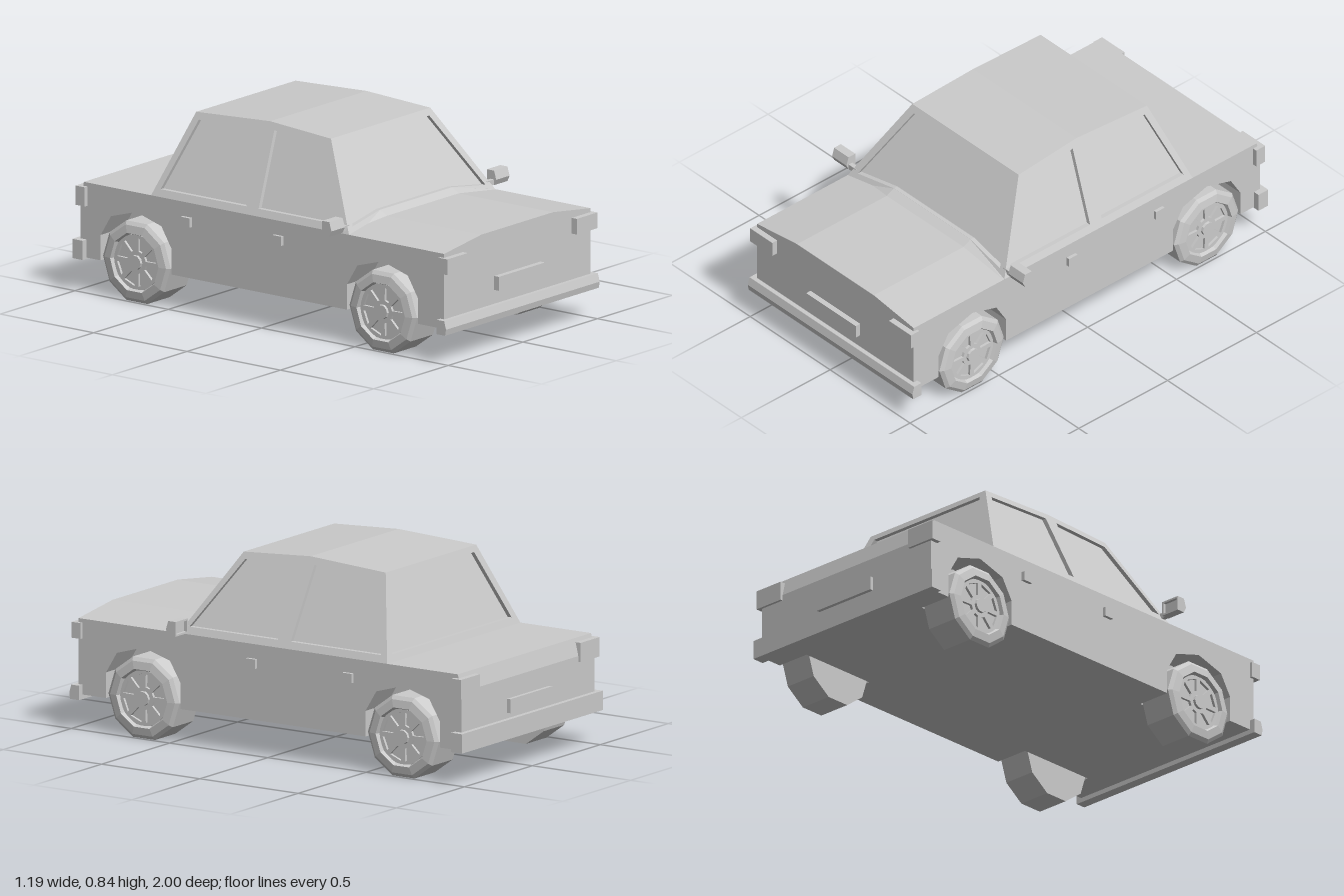
import * as THREE from 'three';

const mat = new THREE.MeshStandardMaterial({ color: 0xcccccc, flatShading: true, side: THREE.DoubleSide });

// Slanted cabin planes as functions of height
const SILL = 0.475;
const sideX = y => 0.49 - 0.452 * (y - SILL);
const frontZ = y => 0.46 - 0.638 * (y - SILL);
const rearZ = y => -0.6 + 0.333 * (y - SILL);
const INSET = 0.02;

const toShape = pts => new THREE.Shape(pts.map(p => new THREE.Vector2(...p)));
const extrude = (shape, depth) => new THREE.ExtrudeGeometry(shape, { depth, bevelEnabled: false });

export function createModel() {
  const car = new THREE.Group();
  car.name = 'car';

  function add(name, geometry, parent = car) {
    const m = new THREE.Mesh(geometry, mat);
    m.name = name;
    parent.add(m);
    return m;
  }
  // Box given by its lower and upper limits on each axis
  function block(name, [x0, x1], [y0, y1], [z0, z1], parent) {
    const g = new THREE.BoxGeometry(x1 - x0, y1 - y0, z1 - z0);
    g.translate((x0 + x1) / 2, (y0 + y1) / 2, (z0 + z1) / 2);
    return add(name, g, parent);
  }
  // Profile in (z, y), extruded across the car from x0 to x1
  function across(name, pts, x0, x1, parent) {
    const g = extrude(toShape(pts), x1 - x0);
    g.rotateY(-Math.PI / 2).translate(x1, 0, 0);
    return add(name, g, parent);
  }
  // Move every vertex by a rule
  function warp(g, rule) {
    const p = g.attributes.position;
    for (let i = 0; i < p.count; i++) p.setXYZ(i, ...rule(p.getX(i), p.getY(i), p.getZ(i)));
    g.computeVertexNormals();
    return g;
  }

  // Lower body: full core, and outer strips with wheel arches
  const axles = [0.64, -0.68];
  const arch = c => [[-0.19, 0.15], [-0.19, 0.26], [-0.135, 0.35], [0, 0.39], [0.135, 0.35], [0.19, 0.26], [0.19, 0.15]]
    .map(([z, y]) => [c + z, y]);
  const ends = [[0.97, 0.15], [0.97, SILL], [-0.96, SILL], [-0.978, 0.4], [-0.978, 0.15]];
  across('bodyCore', ends, -0.335, 0.335);
  const strip = [...ends, ...arch(axles[1]), ...arch(axles[0])];
  across('leftBodySide', strip, 0.335, 0.49);
  across('rightBodySide', strip, -0.49, -0.335);

  // Raised hood, and the cowl rising to the windshield
  const hoodShape = toShape([[-0.49, SILL], [0.49, SILL], [0.24, 0.508], [-0.24, 0.508]]);
  add('hood', extrude(hoodShape, 0.505).translate(0, 0, 0.465));
  add('cowl', warp(extrude(hoodShape, 0.04),
    (x, y, z) => [x, y > 0.5 && z < 0.02 ? 0.528 : y, 0.425 + z]));

  // Cabin panels: a frame with window openings, plus recessed glass
  function panel(name, outline, windows, place) {
    const frame = toShape(outline);
    windows.forEach(w => frame.holes.push(toShape(w)));
    add(name + 'Frame', warp(extrude(frame, INSET), place));
    windows.forEach(w => add(name + 'Glass', warp(new THREE.ShapeGeometry(toShape(w)), place)));
  }
  const EAVE = 0.823, PEAK = 0.843, MID = -0.095;
  const endOutline = [[-sideX(SILL), SILL], [sideX(SILL), SILL], [sideX(EAVE), EAVE], [-sideX(EAVE), EAVE]];
  panel('windshield', endOutline,
    [[[-0.445, 0.5], [-0.24, 0.528], [0.24, 0.528], [0.445, 0.5], [0.305, 0.797], [-0.305, 0.797]]],
    (u, y, d) => [u, y, frontZ(y) + d - INSET]);
  panel('rearWindow', endOutline,
    [[[-0.44, 0.505], [0.44, 0.505], [0.305, 0.797], [-0.305, 0.797]]],
    (u, y, d) => [-u, y, rearZ(y) - d + INSET]);

  const sideOutline = [[frontZ(SILL), SILL], [frontZ(EAVE), EAVE], [MID, PEAK], [rearZ(EAVE), EAVE], [rearZ(SILL), SILL]];
  const sideWindows = [
    [[0.415, 0.505], [0.222, 0.795], [-0.062, 0.812], [-0.035, 0.505]],
    [[-0.1, 0.505], [-0.125, 0.812], [-0.46, 0.795], [-0.56, 0.505]],
  ];
  for (const s of [1, -1]) {
    const flip = pts => pts.map(([z, y]) => [-s * z, y]);
    panel(s > 0 ? 'leftSide' : 'rightSide', flip(sideOutline), sideWindows.map(flip),
      (u, y, d) => [s * (sideX(y) + d - INSET), y, -s * u]);
  }

  // Roof with a slight ridge at the middle pillars
  const roof = new THREE.PlaneGeometry(1, 1, 1, 2);
  const rows = [[rearZ(EAVE), EAVE], [MID, PEAK], [frontZ(EAVE), EAVE]];
  add('roof', warp(roof, (x, y) => {
    const [z, h] = rows[Math.round((0.5 - y) * 2)];
    return [Math.sign(x) * sideX(h), h, z];
  }));

  // Bumpers and plates
  across('frontBumper', [[0.95, 0.13], [0.995, 0.13], [1, 0.157], [0.99, 0.192], [0.95, 0.192]], -0.515, 0.515);
  block('rearBumper', [-0.518, 0.518], [0.145, 0.228], [-1, -0.945]);
  block('frontPlate', [-0.155, 0.155], [0.252, 0.312], [0.96, 0.995]);
  block('rearPlate', [-0.155, 0.155], [0.252, 0.312], [-0.995, -0.96]);

  // Lamps, door handles and mirrors, on both sides
  for (const s of [1, -1]) {
    const side = new THREE.Group();
    side.name = s > 0 ? 'leftFittings' : 'rightFittings';
    car.add(side);
    const span = (a, b) => s > 0 ? [a, b] : [-b, -a];
    block('headlight', span(0.365, 0.503), [0.39, 0.458], [0.95, 0.997], side);
    block('tailLight', span(0.37, 0.51), [0.375, 0.458], [-0.99, -0.94], side);
    for (const z of [0.085, -0.405]) {
      block('doorHandle', span(0.48, 0.505), [0.373, 0.413], [z - 0.024, z + 0.024], side);
    }
    block('mirrorArm', span(0.46, 0.52), [0.487, 0.51], [0.42, 0.44], side);
    across('mirrorHousing', [[0.415, 0.485], [0.44, 0.485], [0.452, 0.51], [0.44, 0.548], [0.415, 0.548]],
      ...span(0.507, 0.597), side);
    const rim = toShape([[-0.045, 0.485], [0.045, 0.485], [0.045, 0.548], [-0.045, 0.548]]);
    rim.holes.push(toShape([[-0.037, 0.493], [0.037, 0.493], [0.037, 0.54], [-0.037, 0.54]]));
    add('mirrorRim', extrude(rim, 0.013).translate(s * 0.552, 0, 0.402), side);
  }

  // Wheels: ten-sided tyre, spoked rim with openings, hub
  const tyre = new THREE.LatheGeometry(
    [[0, 0.335], [0.181, 0.335], [0.181, 0.485], [0.165, 0.497], [0.13, 0.503], [0.118, 0.475], [0, 0.475]]
      .map(p => new THREE.Vector2(...p)), 10).rotateZ(-Math.PI / 2);
  const polar = (r, a) => [r * Math.cos(a), r * Math.sin(a)];
  const SPOKES = 8, step = Math.PI * 2 / SPOKES;
  const disc = toShape(Array.from({ length: 20 }, (_, i) => polar(0.12, i * Math.PI / 10)));
  for (let i = 0; i < SPOKES; i++) {
    const a = (i + 0.5) * step;
    disc.holes.push(toShape([polar(0.05, a - 0.2), polar(0.105, a - 0.29), polar(0.105, a + 0.29), polar(0.05, a + 0.2)]));
  }
  const rimDisc = extrude(disc, 0.012).rotateY(Math.PI / 2).translate(0.476, 0, 0);
  const hub = new THREE.CylinderGeometry(0.03, 0.034, 0.025, 10).rotateZ(-Math.PI / 2).translate(0.486, 0, 0);
  for (const z of axles) for (const s of [1, -1]) {
    const wheel = new THREE.Group();
    wheel.name = (z > 0 ? 'front' : 'rear') + (s > 0 ? 'Left' : 'Right') + 'Wheel';
    wheel.position.set(0, 0.172, z);
    if (s < 0) wheel.rotation.y = Math.PI;
    add('tyre', tyre, wheel);
    add('rim', rimDisc, wheel);
    add('hub', hub, wheel);
    car.add(wheel);
  }
  return car;
}
